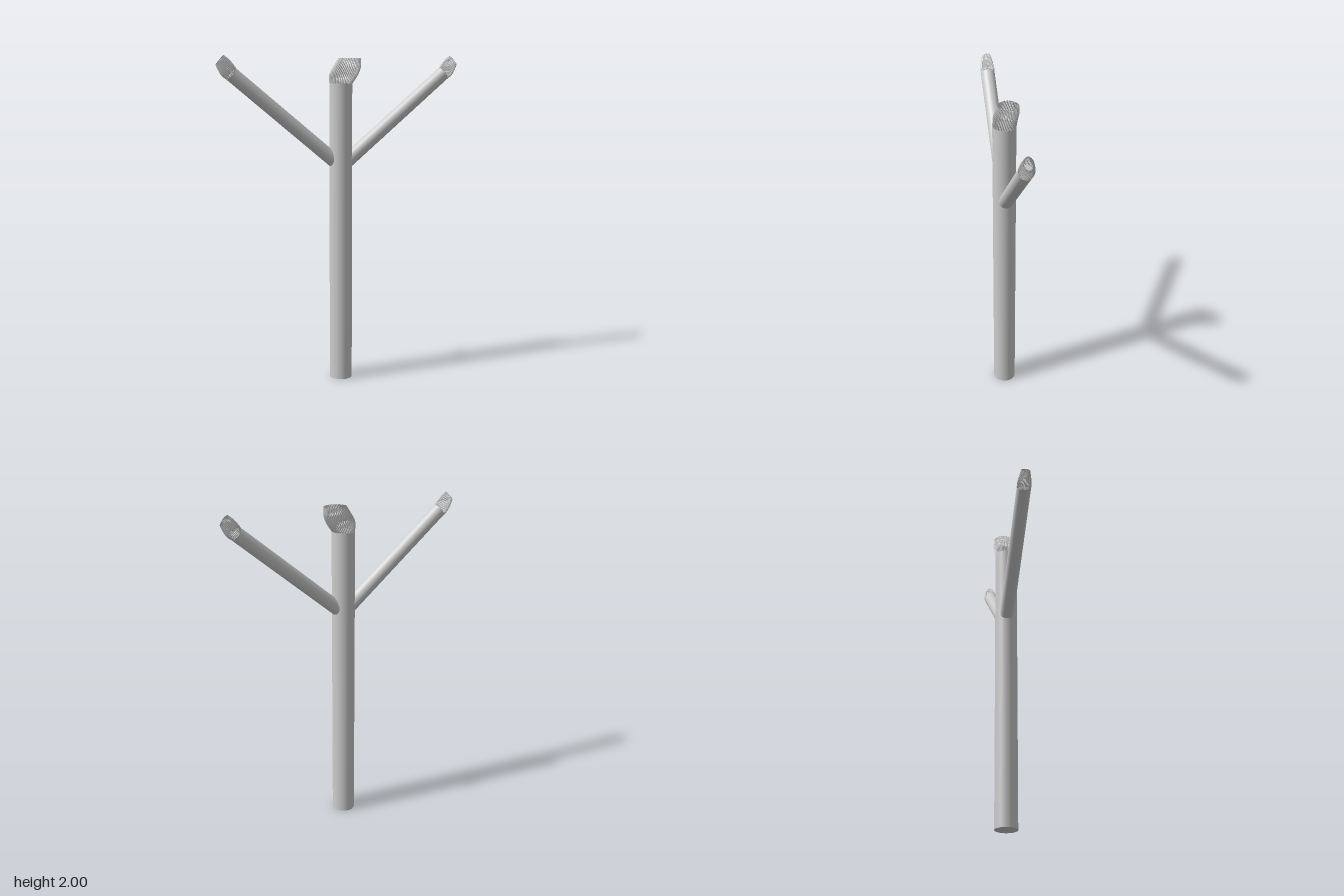
import * as THREE from 'three';
import { mergeGeometries } from 'three/addons/utils/BufferGeometryUtils.js';

const grey = new THREE.MeshStandardMaterial({ color: 0xcccccc });
const bristleGrey = new THREE.MeshStandardMaterial({ color: 0xcccccc, side: THREE.DoubleSide });

// Ring of curved bristles; each section is [height, centreX, centreZ, radiusX, radiusZ]
function tuft(name, sections, count, thickness) {
  const strands = [];
  for (let i = 0; i < count; i++) {
    const a = (i / count) * Math.PI * 2;
    const points = sections.map(([y, cx, cz, rx, rz]) =>
      new THREE.Vector3(cx + rx * Math.cos(a), y, cz + rz * Math.sin(a)));
    const path = new THREE.CatmullRomCurve3(points);
    strands.push(new THREE.TubeGeometry(path, 10, thickness, 6));
  }
  const mesh = new THREE.Mesh(mergeGeometries(strands), bristleGrey);
  mesh.name = name;
  return mesh;
}

// Upright capped rod standing on its own origin
function rod(name, radius, length) {
  const geometry = new THREE.CylinderGeometry(radius, radius, length, 48);
  geometry.translate(0, length / 2, 0);
  const mesh = new THREE.Mesh(geometry, grey);
  mesh.name = name;
  return mesh;
}

export function createModel() {
  const model = new THREE.Group();
  model.name = 'branchedPole';

  // Trunk with a tuft that sweeps to one side
  const trunkHeight = 1.83;
  const trunk = new THREE.Group();
  trunk.name = 'trunk';
  trunk.position.set(-0.003, 0, 0.003);
  const trunkTuft = tuft('trunkBristles', [
    [0, 0, 0, 0.066, 0.066],
    [0.055, 0.019, -0.002, 0.086, 0.067],
    [0.1, 0.042, -0.007, 0.082, 0.066],
    [0.15, 0.06, -0.012, 0.066, 0.06],
  ], 44, 0.0035);
  trunkTuft.position.y = trunkHeight;
  trunk.add(rod('trunkRod', 0.069, trunkHeight), trunkTuft);
  model.add(trunk);

  // Two slanted arms, the second turned half way round
  const armLength = 0.872;
  for (const [name, turn] of [['leftArm', 0], ['rightArm', Math.PI]]) {
    const arm = new THREE.Group();
    arm.name = name;
    const slant = new THREE.Group();
    slant.name = name + 'Slant';
    slant.position.y = 1.33;
    slant.rotation.z = THREE.MathUtils.degToRad(-50.2);
    const armTuft = tuft(name + 'Bristles', [
      [0, 0, 0, 0.041, 0.041],
      [0.035, -0.004, 0, 0.046, 0.04],
      [0.07, -0.012, 0, 0.043, 0.033],
      [0.102, -0.019, 0, 0.035, 0.025],
    ], 36, 0.0025);
    armTuft.position.y = armLength;
    slant.add(rod(name + 'Rod', 0.043, armLength), armTuft);
    arm.add(slant);
    arm.rotation.y = turn;
    model.add(arm);
  }
  return model;
}
